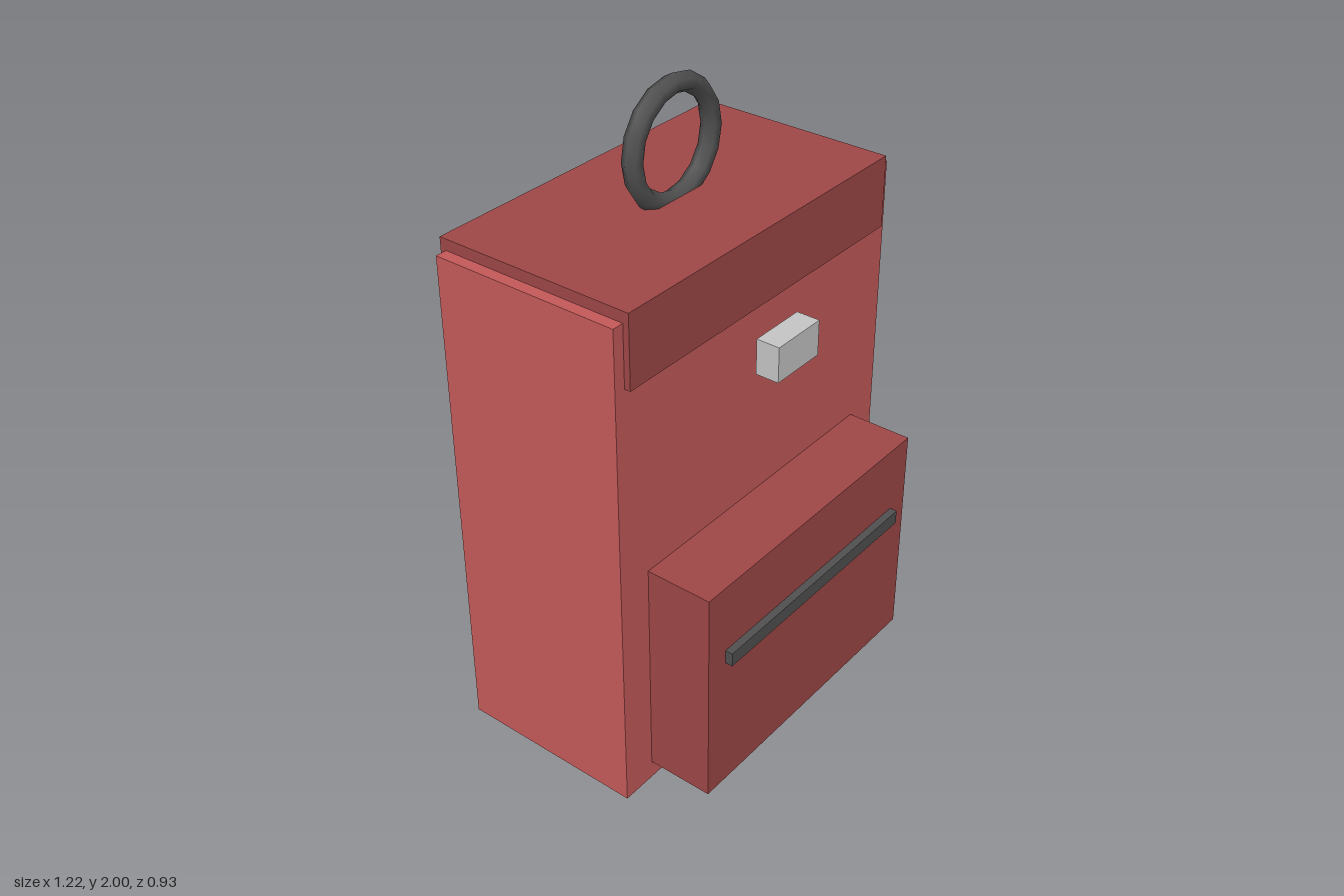
import * as THREE from 'three';

const material = (name, color) => {
  const m = new THREE.MeshStandardMaterial({ color });
  m.name = name;
  return m;
};

export function createModel() {
  const group = new THREE.Group();
  group.name = 'backpack';

  const red = material('red fabric', 0xc45959);
  const darkRed = material('dark red fabric', 0x9e4646);
  const charcoal = material('charcoal webbing', 0x505050);
  const silver = material('silver metal', 0xc4c4c4);

  // Box given by its extents along each axis
  const box = (name, mat, [x0, x1], [y0, y1], [z0, z1]) => {
    const mesh = new THREE.Mesh(new THREE.BoxGeometry(x1 - x0, y1 - y0, z1 - z0), mat);
    mesh.position.set((x0 + x1) / 2, (y0 + y1) / 2, (z0 + z1) / 2);
    mesh.name = name;
    group.add(mesh);
  };

  // Main bag, lid and front pocket
  box('body', red, [-0.612, 0.612], [0, 1.61], [-0.383, 0.228]);
  box('topFlap', darkRed, [-0.575, 0.575], [1.418, 1.645], [-0.403, 0.247]);
  box('frontPocket', darkRed, [-0.497, 0.497], [0.061, 0.785], [0.2, 0.44]);

  // Pocket zipper and clasp
  box('zipper', charcoal, [-0.421, 0.421], [0.516, 0.561], [0.42, 0.464]);
  box('buckle', silver, [-0.094, 0.094], [1.248, 1.36], [0.286, 0.361]);

  // Shoulder straps on the back
  for (const [name, side] of [['leftStrap', 1], ['rightStrap', -1]]) {
    const x = side * 0.345;
    box(name, charcoal, [x - 0.086, x + 0.086], [0.121, 1.494], [-0.465, -0.375]);
  }

  // Carry loop, partly sunk into the lid
  const handle = new THREE.Mesh(new THREE.TorusGeometry(0.17, 0.03, 6, 16), charcoal);
  handle.position.set(0, 1.8, -0.078);
  handle.name = 'handle';
  group.add(handle);

  return group;
}
